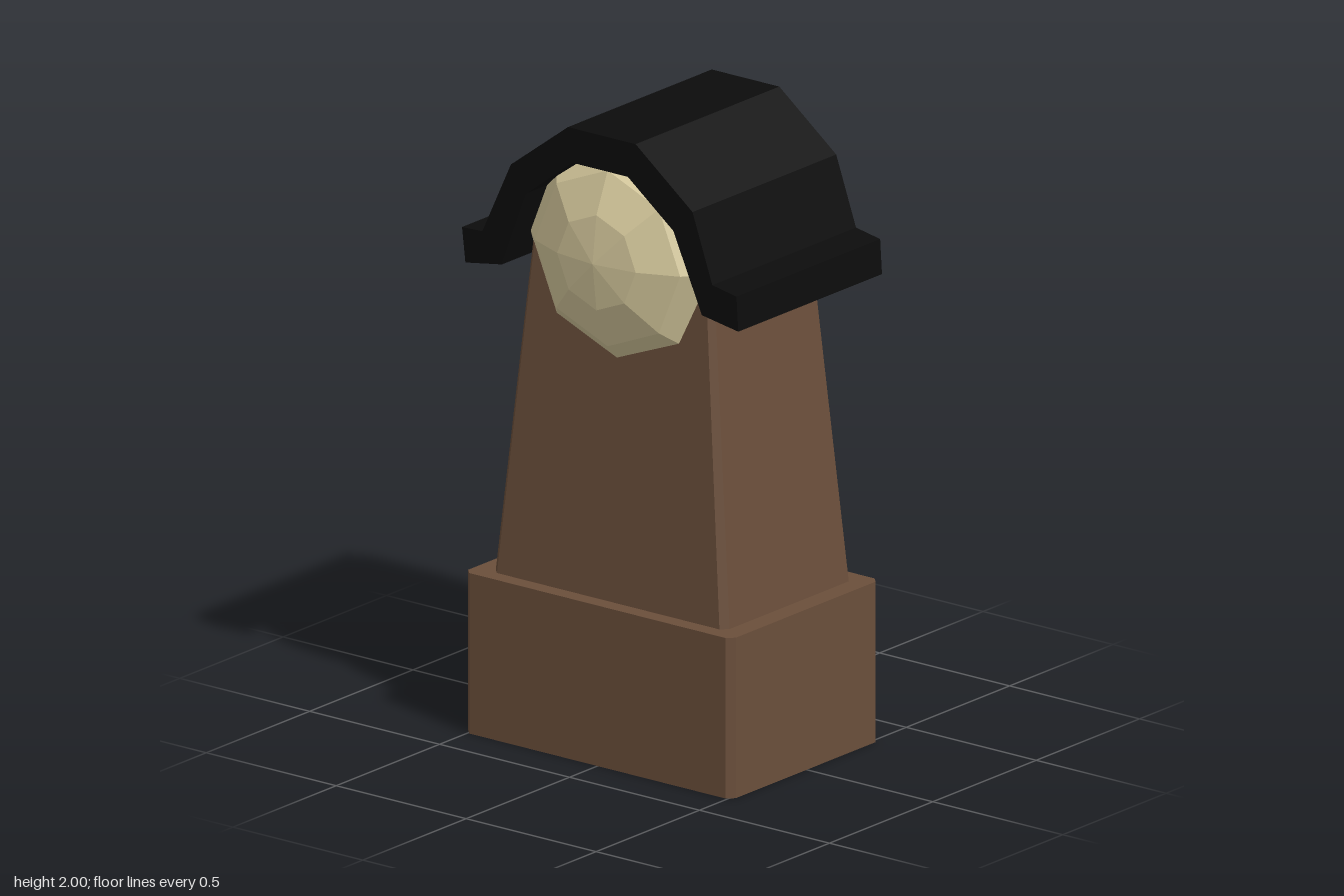
import * as THREE from 'three';

// Chamfered rectangle as an octagon of [x, z], anticlockwise seen from above
function octagon(hx, hz, c) {
  return [[hx, hz - c], [hx, c - hz], [hx - c, -hz], [c - hx, -hz],
    [-hx, c - hz], [-hx, hz - c], [c - hx, hz], [hx - c, hz]];
}

// Tapered block with chamfered corners, open underneath
function block(bottom, top, y0, y1) {
  const p = [], n = bottom.length;
  const lo = i => [bottom[i][0], y0, bottom[i][1]];
  const hi = i => [top[i][0], y1, top[i][1]];
  for (let i = 0; i < n; i++) {
    const j = (i + 1) % n;
    p.push(...lo(i), ...lo(j), ...hi(j), ...lo(i), ...hi(j), ...hi(i));
    p.push(0, y1, 0, ...hi(i), ...hi(j));
  }
  const g = new THREE.BufferGeometry();
  g.setAttribute('position', new THREE.Float32BufferAttribute(p, 3));
  g.computeVertexNormals();
  return g;
}

export function createModel() {
  const model = new THREE.Group();
  const material = (name, color) => {
    const m = new THREE.MeshStandardMaterial({ color, flatShading: true, side: THREE.DoubleSide });
    m.name = name;
    return m;
  };
  const brown = material('brown', 0x6b4f3b);
  const cream = material('cream', 0xd9cc9f);
  const black = material('black', 0x0c0c0c);
  const add = (name, geometry, mat) => {
    const mesh = new THREE.Mesh(geometry, mat);
    mesh.name = name;
    model.add(mesh);
    return mesh;
  };

  // Hollow base and tapered tower
  const base = octagon(0.515, 0.36, 0.022);
  add('base', block(base, base, 0, 0.51), brown).position.z = 0.005;
  add('tower', block(octagon(0.45, 0.31, 0.022), octagon(0.345, 0.25, 0.018), 0.51, 1.6), brown)
    .position.z = 0.003;

  // Faceted domes on the front and back
  for (const side of [1, -1]) {
    const g = new THREE.SphereGeometry(0.395, 8, 4, 0, Math.PI * 2, 0, Math.PI / 2);
    g.rotateX(Math.PI / 2);
    g.scale(1, 1, 0.63);
    const dome = add(side > 0 ? 'frontDome' : 'backDome', g, cream);
    dome.position.set(0, 1.6, 0.14 * side);
    if (side < 0) dome.rotation.y = Math.PI;
  }

  // Arched roof with flared eaves
  const profile = [[-0.125, 2], [-0.345, 1.835], [-0.455, 1.6], [-0.533, 1.597], [-0.52, 1.487],
    [-0.38, 1.51], [-0.286, 1.755], [-0.11, 1.89], [0.105, 1.89], [0.28, 1.755],
    [0.39, 1.51], [0.53, 1.487], [0.523, 1.597], [0.43, 1.614], [0.354, 1.83], [0.135, 2]];
  const shape = new THREE.Shape(profile.map(([x, y]) => new THREE.Vector2(x, y)));
  const roof = new THREE.ExtrudeGeometry(shape, { depth: 0.695, bevelEnabled: false });
  add('roof', roof, black).position.z = -0.345;

  return model;
}
